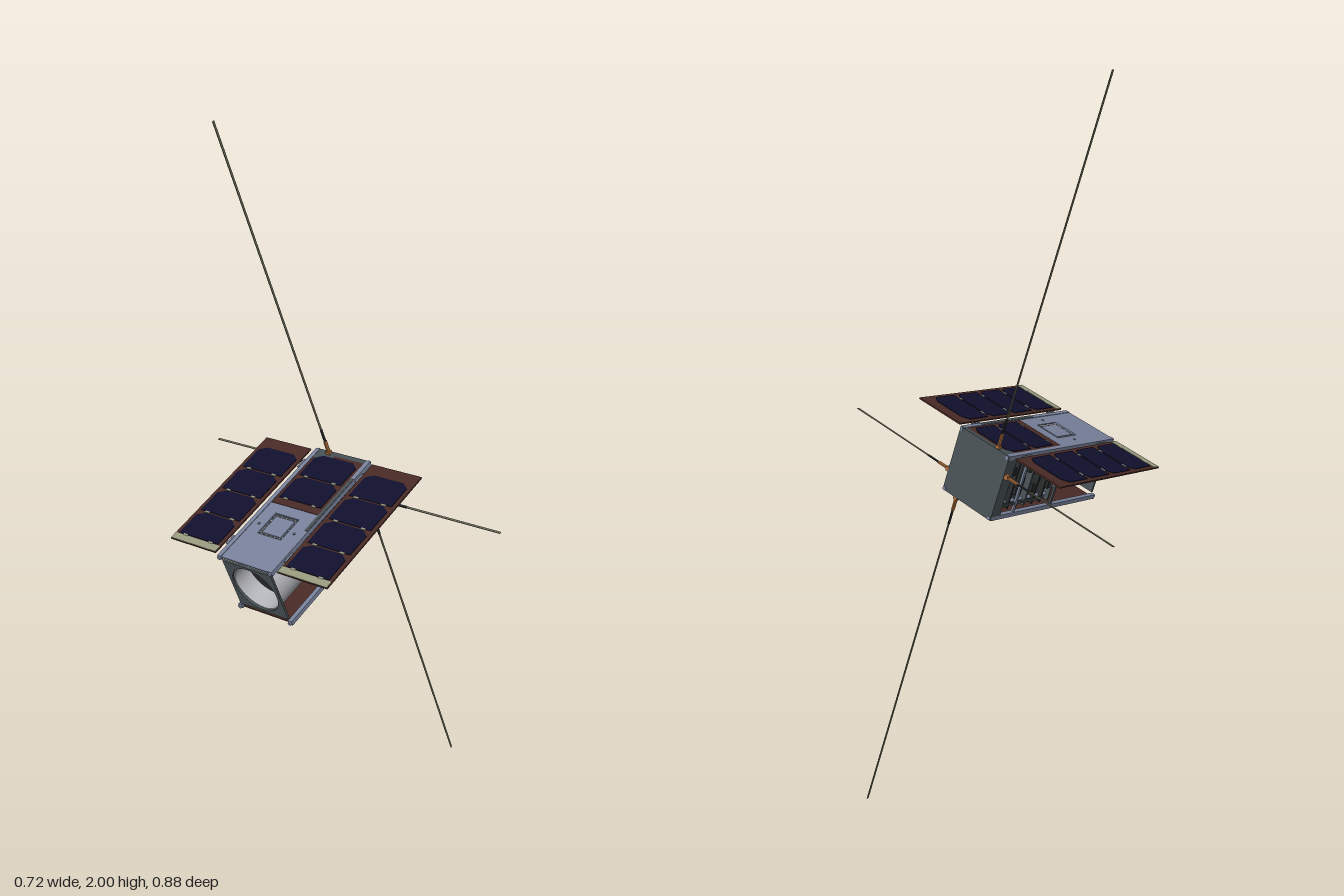
import * as THREE from 'three';

const mat = (name, color, side = THREE.FrontSide) => {
  const m = new THREE.MeshStandardMaterial({ color, side });
  m.name = name;
  return m;
};

export function createModel() {
  const M = {
    metal: mat('blue grey metal', 0x7a849e),
    slate: mat('dark slate', 0x475054),
    navy: mat('solar navy', 0x10102e),
    brown: mat('panel brown', 0x4a2b26),
    beige: mat('contact beige', 0x9a9c80),
    copper: mat('copper', 0xa8683a),
    pale: mat('pale grey', 0xb4b5bb, THREE.DoubleSide),
    board: mat('board black', 0x26292a),
    tape: mat('antenna tape', 0x6b6a58),
  };

  // Local frame: x along the body, y out of the top deck, z towards a wing
  const craft = new THREE.Group();
  craft.name = 'satellite';
  const add = (name, geo, m, x, y, z, parent = craft) => {
    const mesh = new THREE.Mesh(geo, m);
    mesh.name = name;
    mesh.position.set(x, y, z);
    parent.add(mesh);
    return mesh;
  };
  const box = (name, w, h, d, m, x, y, z, parent) =>
    add(name, new THREE.BoxGeometry(w, h, d), m, x, y, z, parent);
  const cyl = (name, r, len, m, x, y, z, seg = 16) =>
    add(name, new THREE.CylinderGeometry(r, r, len, seg).rotateZ(Math.PI / 2), m, x, y, z);

  const H = 0.182, MID = -H / 2, HALF = 0.214;

  // Flat plate lying in x-z, made from a shape
  const plate = (shape, t) =>
    new THREE.ExtrudeGeometry(shape, { depth: t, bevelEnabled: false, curveSegments: 32 }).rotateX(-Math.PI / 2);
  const rect = (w, d) => new THREE.Shape([
    new THREE.Vector2(-w / 2, -d / 2), new THREE.Vector2(w / 2, -d / 2),
    new THREE.Vector2(w / 2, d / 2), new THREE.Vector2(-w / 2, d / 2)]);

  // Solar cell with two clipped corners
  const cellGeo = (w, d, c = 0.02) => plate(new THREE.Shape([
    new THREE.Vector2(-w / 2, -d / 2), new THREE.Vector2(w / 2 - c * 0.7, -d / 2),
    new THREE.Vector2(w / 2, -d / 2 + c), new THREE.Vector2(w / 2, d / 2 - c),
    new THREE.Vector2(w / 2 - c * 0.7, d / 2), new THREE.Vector2(-w / 2, d / 2)]), 0.0015);

  // Corner rails with rounded end feet
  for (const y of [-0.006, -H + 0.006]) for (const z of [-0.0815, 0.0815]) {
    box('rail', 0.42, 0.012, 0.012, M.metal, 0, y, z);
    for (const x of [-0.211, 0.211]) cyl('railFoot', 0.005, 0.006, M.metal, x, y, z);
  }
  box('railInsert', 0.2, 0.001, 0.01, M.slate, 0.04, 0.0005, 0.0815);

  // Top deck: metal plate with a square window, and a solar board
  const deck = rect(0.208, 0.15);
  const hole = new THREE.Path([
    new THREE.Vector2(-0.002, -0.038), new THREE.Vector2(-0.002, 0.038),
    new THREE.Vector2(0.074, 0.038), new THREE.Vector2(0.074, -0.038)]);
  deck.holes.push(hole);
  add('topPlate', plate(deck, 0.004), M.metal, -0.106, -0.005, 0);
  box('windowRecess', 0.08, 0.003, 0.08, M.slate, -0.07, -0.009, 0);
  box('windowCover', 0.06, 0.005, 0.06, M.metal, -0.07, -0.005, 0);
  for (const s of [-1, 1]) {
    for (let i = -2; i <= 2; i++) {
      box('windowPin', 0.004, 0.003, 0.005, M.pale, -0.07 + i * 0.014, -0.005, s * 0.034);
      box('windowPin', 0.005, 0.003, 0.004, M.pale, -0.07 + s * 0.034, -0.005, i * 0.014);
    }
    add('screw', new THREE.CylinderGeometry(0.004, 0.004, 0.001, 12), M.slate, -0.078, -0.0005, s * 0.057);
  }
  box('topSolarBoard', 0.2, 0.004, 0.15, M.brown, 0.099, -0.003, 0);
  for (const x of [0.062, 0.149]) {
    add('topCell', cellGeo(0.082, 0.134), M.navy, x, -0.001, 0);
    for (const z of [-0.045, 0.045]) box('cellTab', 0.005, 0.002, 0.012, M.beige, x - 0.042, 0, z);
  }

  // Bottom solar board
  box('bottomBoard', 0.41, 0.004, 0.152, M.brown, 0, -H + 0.003, 0);
  for (let i = 0; i < 4; i++) {
    const c = add('bottomCell', cellGeo(0.084, 0.134), M.navy, -0.14 + i * 0.09, -H + 0.001, 0);
    c.rotation.x = Math.PI;
  }

  // Deployed solar wings, hinged beside the top rails
  for (const s of [-1, 1]) {
    const wing = new THREE.Group();
    wing.name = 'solarWing';
    wing.position.z = s * 0.1755;
    craft.add(wing);
    box('wingBoard', 0.406, 0.004, 0.152, M.brown, 0, -0.002, 0, wing);
    box('wingEdgeStrip', 0.02, 0.0015, 0.15, M.beige, -0.192, 0.0005, 0, wing);
    for (let i = 0; i < 4; i++) {
      const x = -0.138 + i * 0.088;
      add('wingCell', cellGeo(0.083, 0.13), M.navy, x, 0, 0, wing);
      for (const z of [-0.042, 0.042]) box('cellTab', 0.005, 0.002, 0.014, M.beige, x - 0.043, 0.001, z, wing);
    }
    for (const x of [-0.15, 0.15]) cyl('wingHinge', 0.003, 0.03, M.metal, x, -0.004, s * 0.0935);
  }

  // Camera barrel, open towards the rear end
  const R = 0.073;
  const barrel = [[0, 0.145], [R - 0.006, 0.145], [R, 0.139], [R, 0], [R - 0.006, 0], [R - 0.006, 0.06], [0, 0.06]]
    .map(p => new THREE.Vector2(p[0], p[1]));
  const tube = new THREE.LatheGeometry(barrel.slice().reverse(), 48).rotateZ(-Math.PI / 2).toNonIndexed();
  tube.computeVertexNormals();
  add('cameraBarrel', tube, M.pale, -0.203, MID, 0);
  cyl('cameraLens', R - 0.007, 0.002, M.board, -0.15, MID, 0, 40);
  cyl('cameraMount', 0.035, 0.03, M.slate, -0.045, MID - 0.03, 0, 24);

  // Rear end frame with round opening
  const frame = rect(0.15, 0.156);
  frame.holes.push(new THREE.Path().absarc(0, 0, R - 0.004, 0, Math.PI * 2, true));
  add('rearFrame', plate(frame, 0.006).rotateZ(Math.PI / 2), M.slate, -0.203, MID, 0);

  // Stacked electronics boards with spacers and components
  for (let i = 0; i < 7; i++) {
    const x = -0.022 + i * 0.032;
    box('circuitBoard', 0.005, 0.15, 0.146, i % 3 ? M.board : M.slate, x, MID, 0);
    if (i === 6) continue;
    for (const y of [-0.06, 0.06]) for (const z of [-0.06, 0.06])
      cyl('spacer', 0.005, 0.03, M.metal, x + 0.016, MID + y, z, 10);
    box('componentBlock', 0.014, 0.05, 0.11, i % 2 ? M.slate : M.board, x + 0.009, MID + (i % 3 - 1) * 0.025, 0);
    for (const s of [-1, 1])
      box('connector', 0.012, 0.02, 0.012, M.board, x + 0.008, MID + (i % 2 ? 0.03 : -0.03), s * 0.063);
  }
  box('batteryPack', 0.03, 0.09, 0.12, M.slate, 0.122, MID, 0);
  for (const s of [-1, 1]) {
    box('sideBracket', 0.007, 0.16, 0.006, M.slate, -0.024, MID, s * 0.082);
    box('sideBracket', 0.007, 0.16, 0.006, M.metal, 0.125, MID, s * 0.082);
    box('sideRib', 0.17, 0.006, 0.004, M.slate, 0.1, MID - 0.055, s * 0.082);
  }

  // Antenna end cap
  box('endCap', 0.034, H - 0.002, 0.174, M.slate, 0.195, MID, 0);

  // Four tape antennas: [quarter turns, sideways offset, reach from centre]
  for (const [k, off, reach] of [[0, -0.04, 1.043], [1, 0.035, 0.45], [2, -0.042, 1.051], [3, 0.035, 0.448]]) {
    const arm = new THREE.Group();
    arm.name = 'antenna';
    arm.position.set(0.204, MID, 0);
    arm.rotation.x = k * Math.PI / 2;
    craft.add(arm);
    box('antennaTape', 0.006, reach - 0.08, 0.0015, M.tape, 0, (reach + 0.08) / 2, off, arm);
    box('antennaSleeve', 0.01, 0.045, 0.004, M.copper, 0, 0.108, off, arm);
    box('antennaClamp', 0.012, 0.012, 0.012, M.copper, 0, 0.092, off, arm);
    box('antennaStiffener', 0.007, 0.04, 0.0025, M.board, 0, 0.15, off, arm);
  }

  // Tilt the whole craft
  const ax = new THREE.Vector3(0.954, 0.2065, -0.214).normalize();
  const az = new THREE.Vector3(0.179, 0.179, 0.967).normalize();
  const ay = new THREE.Vector3().crossVectors(az, ax).normalize();
  az.crossVectors(ax, ay);
  craft.quaternion.setFromRotationMatrix(new THREE.Matrix4().makeBasis(ax, ay, az));
  craft.position.set(-0.122, 1.05, 0.03);

  const model = new THREE.Group();
  model.name = 'model';
  model.add(craft);
  return model;
}
